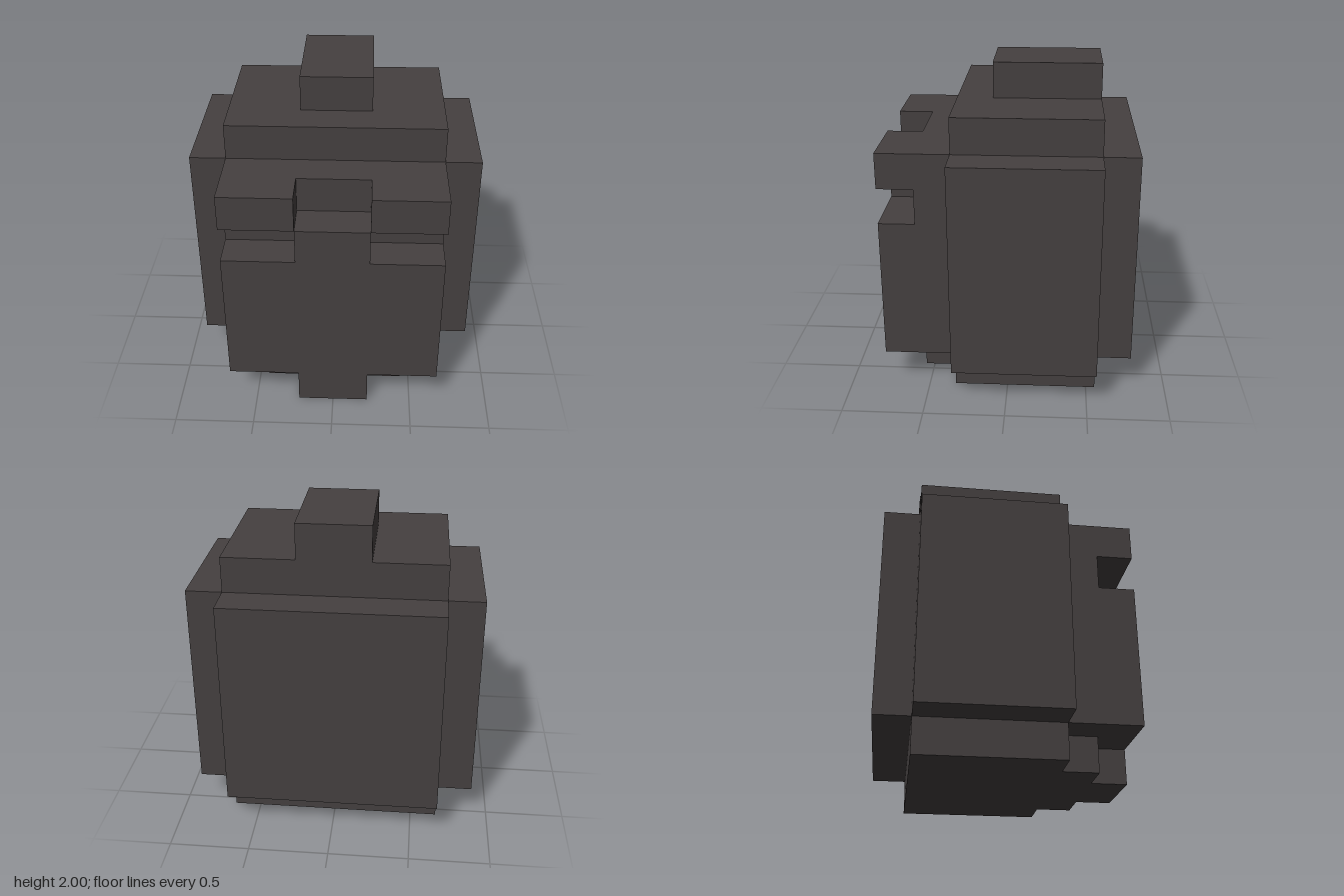
import * as THREE from 'three';

const U = 2 / 9; // one block unit

export function createModel() {
  const model = new THREE.Group();
  model.name = 'blockHead';
  const charcoal = new THREE.MeshStandardMaterial({ color: 0x454040 });
  charcoal.name = 'charcoal';

  // Box from its limits, in block units
  function block(name, [x0, x1], [y0, y1], [z0, z1]) {
    const geometry = new THREE.BoxGeometry((x1 - x0) * U, (y1 - y0) * U, (z1 - z0) * U);
    const mesh = new THREE.Mesh(geometry, charcoal);
    mesh.name = name;
    mesh.position.set((x0 + x1) / 2 * U, (y0 + y1) / 2 * U, (z0 + z1) / 2 * U);
    model.add(mesh);
  }
  // The same box on both sides
  function pair(name, [x0, x1], y, z) {
    block('left' + name, [x0, x1], y, z);
    block('right' + name, [-x1, -x0], y, z);
  }

  // Skull, crest and raised panels
  block('skull', [-3, 3], [0, 8], [-2.5, 1.5]);
  block('crest', [-1, 1], [8, 9], [-2.5, 0.5]);
  block('backPanel', [-3, 3], [1, 7], [-3.5, -2.5]);
  pair('SidePanel', [3, 4], [1, 7], [-2.5, 1.5]);

  // Face: eye sockets stay open between cheeks and brows
  block('faceBase', [-3, 3], [1, 7], [1.5, 2.5]);
  block('lowerFace', [-3, 3], [1, 5], [2.5, 3.5]);
  block('noseBridge', [-1, 1], [5, 6], [2.5, 3.5]);
  pair('Brow', [1, 3], [6, 7], [2.5, 3.5]);

  // Stepped chin
  block('chinBase', [-2, 2], [0, 1], [1.5, 2.5]);
  block('chinTip', [-1, 1], [0, 1], [2.5, 3.5]);

  return model;
}
